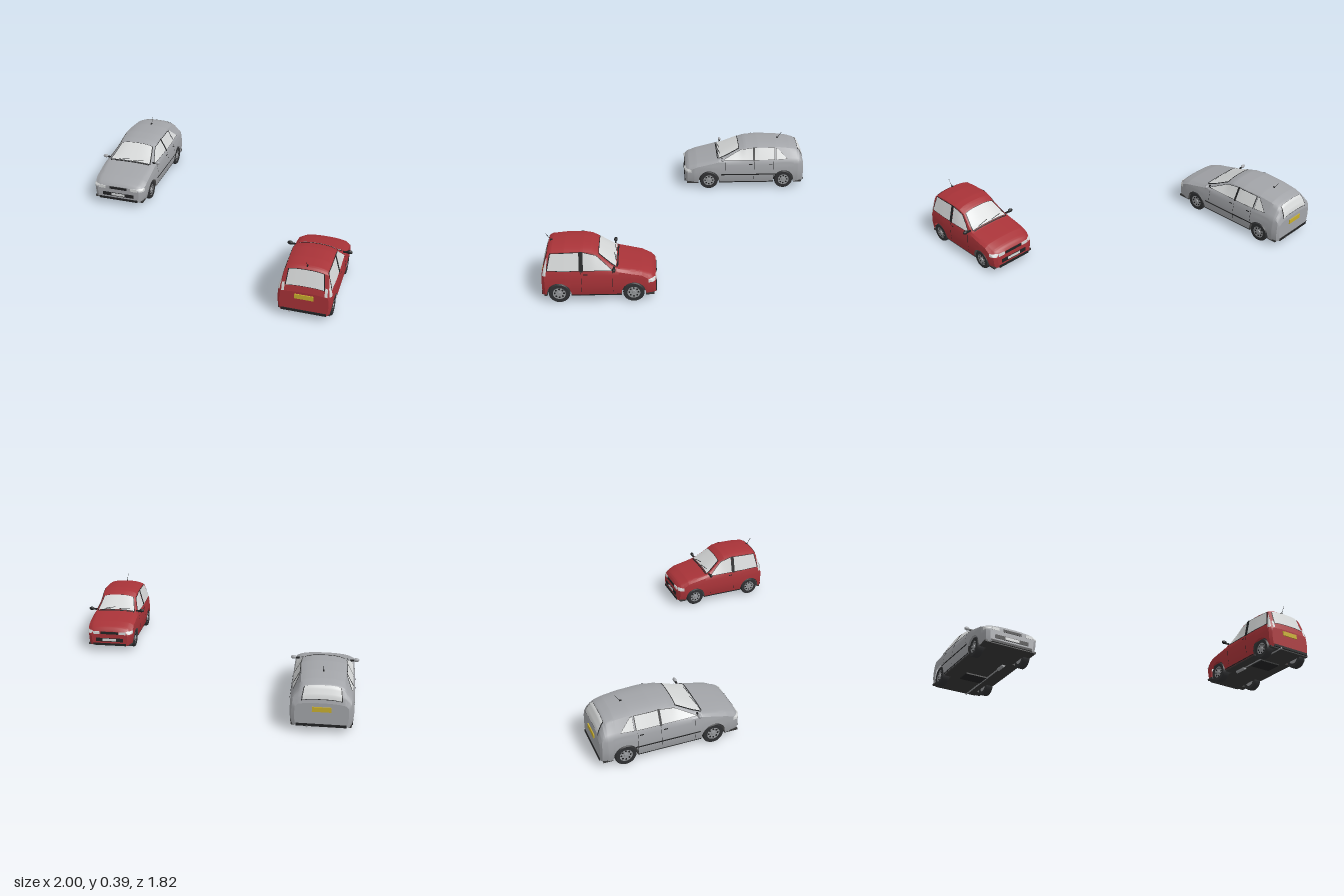
import * as THREE from 'three';
import { toCreasedNormals } from 'three/addons/utils/BufferGeometryUtils.js';

const mat = (name, color, side = THREE.DoubleSide) => {
  const m = new THREE.MeshStandardMaterial({ color, side });
  m.name = name;
  return m;
};
const M = {
  silver: mat('silver paint', 0xa2a4a8), red: mat('red paint', 0xa83338),
  glass: mat('pale glass', 0xd6d8d8), trim: mat('black trim', 0x222324),
  tyre: mat('tyre rubber', 0x303133), rim: mat('wheel metal', 0x96989b),
  under: mat('underbody', 0x383838), plate: mat('yellow plate', 0xc8ae2e),
};

// Piecewise linear lookup in [[position, value], ...]
const lin = (k, t) => {
  if (t <= k[0][0]) return k[0][1];
  for (let i = 1; i < k.length; i++) if (t <= k[i][0]) {
    const [a, va] = k[i - 1], [b, vb] = k[i];
    return va + (vb - va) * (t - a) / (b - a);
  }
  return k[k.length - 1][1];
};
const FLANK = [[0.04, 0.93], [0.08, 0.98], [0.12, 1], [0.17, 0.985], [0.225, 0.935]];

// Surface through a grid of points
function gridGeometry(rows) {
  const pos = [], idx = [], n = rows[0].length;
  rows.forEach(r => r.forEach(p => pos.push(...p)));
  for (let i = 0; i + 1 < rows.length; i++) for (let j = 0; j + 1 < n; j++) {
    const a = i * n + j, b = a + n;
    idx.push(a, a + 1, b, a + 1, b + 1, b);
  }
  const g = new THREE.BufferGeometry();
  g.setAttribute('position', new THREE.Float32BufferAttribute(pos, 3));
  g.setIndex(idx);
  g.computeVertexNormals();
  return g;
}

function car(s) {
  const car = new THREE.Group();
  const add = (name, geo, m, x = 0, y = 0, z = 0) => {
    const mesh = new THREE.Mesh(geo, m);
    mesh.name = name;
    mesh.position.set(x, y, z);
    car.add(mesh);
    return mesh;
  };
  const box = (name, m, w, h, d, x, y, z) => add(name, new THREE.BoxGeometry(w, h, d), m, x, y, z);

  // Shape rules of the shell
  const T = z => lin(s.top, z), B = z => lin(s.belt, z), W = z => lin(s.width, z), R = z => lin(s.roof, z);
  const drop = z => Math.min(0.02, (T(z) - B(z)) * 0.4);
  const sideX = (z, y) => {
    const b = B(z), e = T(z) - drop(z);
    if (y <= b) return W(z) * lin(FLANK, y);
    const t = Math.min(1, (y - b) / (e - b)), x0 = W(z) * lin(FLANK, b);
    return x0 + (R(z) - x0) * t;
  };
  const topY = (x, z) => T(z) - drop(z) * Math.min(1, Math.abs(x) / R(z)) ** 3;
  const sill = z => s.wheels.reduce((y, w) => {
    const d = s.arch ** 2 - (z - w) ** 2;
    return d > 0 ? Math.max(y, s.r + Math.sqrt(d)) : y;
  }, 0.05);

  // Shell: cross-sections from nose to tail, wheel arches cut into the lower edge
  const [tail, nose] = [s.top[0][0], s.top[s.top.length - 1][0]];
  const zs = s.top.map(k => k[0]).concat(s.width.map(k => k[0]));
  for (let i = 1; i < 110; i++) zs.push(tail + (nose - tail) * i / 110);
  zs.sort((a, b) => a - b);
  const stations = zs.filter((z, i) => i === 0 || z - zs[i - 1] > 1e-4);
  const half = z => {
    const p = [], b = B(z), y0 = Math.min(sill(z), b - 0.005), e = T(z) - drop(z);
    for (let i = 0; i < 8; i++) { const y = y0 + (b - y0) * i / 7; p.push([sideX(z, y), y, z]); }
    for (let i = 1; i <= 4; i++) { const y = b + (e - b) * i / 4; p.push([sideX(z, y), y, z]); }
    for (const f of [0.9, 0.75, 0.5, 0.25, 0]) p.push([R(z) * f, topY(R(z) * f, z), z]);
    return p;
  };
  const flip = p => [-p[0], p[1], p[2]];
  const ring = z => { const h = half(z); return h.concat(h.slice(0, -1).reverse().map(flip)); };
  add('bodyShell', toCreasedNormals(gridGeometry(stations.map(ring)), 0.6), s.paint);
  for (const [n, z] of [['nosePanel', nose], ['tailPanel', tail]])
    add(n, gridGeometry(half(z).map(p => [p, flip(p)])), s.paint);

  // Thin patches that follow the shell: corners are (z, y) on the flanks, (x, z) on top
  const patch = (name, m, c, map, grow = 1) => {
    const cx = c.reduce((a, p) => a + p[0], 0) / 4, cy = c.reduce((a, p) => a + p[1], 0) / 4;
    const q = c.map(p => [cx + (p[0] - cx) * grow, cy + (p[1] - cy) * grow]);
    const rows = [], N = 12;
    for (let i = 0; i <= N; i++) {
      rows.push([]);
      for (let j = 0; j <= N; j++) {
        const u = i / N, v = j / N;
        const at = k => (q[0][k] * (1 - u) + q[1][k] * u) * (1 - v) + (q[3][k] * (1 - u) + q[2][k] * u) * v;
        rows[i].push(map(at(0), at(1)));
      }
    }
    add(name, gridGeometry(rows), m);
  };
  const onSide = (sgn, o) => (z, y) => {
    const yy = Math.min(y, T(z) - drop(z));
    return [sgn * (sideX(z, yy) + o), yy + o * 0.3, z];
  };
  const onTop = o => (x, z) => {
    const d = (T(z + 0.002) - T(z - 0.002)) / 0.004, l = Math.hypot(1, d);
    return [x, topY(x, z) + o / l, z - o * d / l];
  };
  const sidePatch = (name, m, c, o = 0.003, grow = 1) => {
    for (const sgn of [1, -1]) patch(name, m, c, onSide(sgn, o), grow);
  };
  const rect = (a, b, c, d) => [[a, c], [b, c], [b, d], [a, d]];

  // Glass with black surrounds
  for (const w of s.sideWindows) {
    sidePatch('windowSeal', M.trim, w, 0.002, 1.07);
    sidePatch('sideWindow', M.glass, w, 0.004);
  }
  for (const [n, [xa, za, xb, zb]] of [['windscreen', s.windscreen], ['rearWindow', s.rearWindow]]) {
    const c = [[-xa, za], [xa, za], [xb, zb], [-xb, zb]];
    patch(n + 'Seal', M.trim, c, onTop(0.002), 1.05);
    patch(n, M.glass, c, onTop(0.004));
  }
  // Wipers and cowl
  const wz = s.windscreen[1];
  patch('cowl', M.trim, rect(-s.windscreen[0], s.windscreen[0], wz + 0.006, wz + 0.013), onTop(0.003));
  for (const x of [-0.09, 0.02])
    patch('wiper', M.trim, [[x, wz - 0.004], [x + 0.08, wz - 0.016], [x + 0.08, wz - 0.012], [x, wz]], onTop(0.006));

  // Pillars, door seams, handles and flank trim
  const [p0, p1] = s.pillar;
  sidePatch('doorPillar', M.trim, rect(p0, p1, B(p0) + 0.005, T(p0) - 0.02), 0.003);
  for (const z of s.seams) sidePatch('doorSeam', M.trim, rect(z - 0.001, z + 0.001, 0.075, B(z)), 0.002);
  for (const z of s.handles) sidePatch('doorHandle', M.trim, rect(z, z + 0.025, 0.192, 0.199), 0.005);
  if (s.moulding) sidePatch('sideMoulding', M.trim, rect(...s.moulding, 0.113, 0.122), 0.004);
  const [wf, wr] = s.wheels;
  sidePatch('sillTrim', M.trim, rect(wr + s.arch + 0.004, wf - s.arch - 0.004, 0.05, 0.057), 0.002);

  // Lamps, grille, bumper openings and number plates
  const wn = W(nose);
  for (const x of [1, -1]) box('headlampFront', M.glass, 0.05, 0.02, 0.006, x * (wn - 0.036), s.lampY, nose);
  sidePatch('headlampSide', M.glass, rect(nose - 0.045, nose - 0.003, s.lampY - 0.01, s.lampY + 0.012), 0.003);
  box('grille', M.trim, 0.13, 0.018, 0.007, 0, s.lampY, nose);
  box('bumperIntake', M.trim, wn * 1.5, 0.026, 0.006, 0, 0.09, nose);
  box('frontPlate', M.glass, 0.1, 0.018, 0.009, 0, 0.091, nose);
  for (const z of [nose, tail]) box('bumperLip', M.trim, W(z) * 1.85, 0.016, 0.009, 0, 0.056, z);
  box('rearPlate', M.plate, 0.116, 0.03, 0.009, 0, 0.16, tail - 0.002);
  if (s.tailLamp) {
    sidePatch('tailLampSide', M.glass, s.tailLamp, 0.003);
    for (const x of [1, -1])
      patch('tailLampRear', M.glass, rect(x * 0.122, x * 0.139, tail + 0.001, tail + 0.016), onTop(0.004));
  }

  // Underbody, exhaust and tank
  const inner = s.half - 0.065, len = nose - tail;
  box('wheelWellCore', M.under, inner * 2, 0.12, len - 0.05, 0, 0.105, (nose + tail) / 2);
  const floor = (a, b) => box('floorPan', M.under, s.half * 1.84, 0.012, b - a, 0, 0.051, (a + b) / 2);
  floor(tail + 0.012, wr - s.arch);
  floor(wr + s.arch, wf - s.arch);
  floor(wf + s.arch, nose - 0.012);
  box('fuelTank', M.trim, 0.15, 0.012, 0.11, 0, 0.042, wr + 0.15);
  const pipe = (name, r, l, x, y, z) =>
    add(name, new THREE.CylinderGeometry(r, r, l, 12).rotateX(Math.PI / 2), M.rim, x, y, z);
  pipe('exhaustPipe', 0.006, len * 0.6, 0.085, 0.046, tail + len * 0.3 - 0.006);
  pipe('silencer', 0.013, 0.08, 0.085, 0.045, wf - 0.15);

  // Wheels
  const r = s.r, tyre = [[0.6, -0.025], [0.92, -0.025], [1, -0.017], [1, 0.017], [0.92, 0.025], [0.6, 0.025]]
    .map(([a, b]) => new THREE.Vector2(a * r, b));
  for (const z of s.wheels) for (const sgn of [1, -1]) {
    const wheel = new THREE.Group();
    wheel.name = 'wheel';
    const part = (name, geo, m, y = 0, a = null) => {
      const p = new THREE.Mesh(geo, m);
      p.name = name;
      p.position.set(a === null ? 0 : Math.cos(a) * r * 0.43, y, a === null ? 0 : Math.sin(a) * r * 0.43);
      wheel.add(p);
    };
    part('tyre', toCreasedNormals(new THREE.LatheGeometry(tyre, 32), 0.6), M.tyre);
    part('rim', new THREE.CylinderGeometry(r * 0.63, r * 0.63, 0.04, 28), M.rim);
    part('hub', new THREE.CylinderGeometry(r * 0.16, r * 0.2, 0.008, 16), M.rim, 0.022);
    for (let i = 0; i < 8; i++)
      part('rimSlot', new THREE.CylinderGeometry(r * 0.09, r * 0.09, 0.003, 10), M.trim, 0.02, i * Math.PI / 4);
    wheel.rotation.z = -sgn * Math.PI / 2;
    wheel.position.set(sgn * (s.half - 0.032), r, z);
    car.add(wheel);
  }

  // Door mirrors and roof aerial
  for (const sgn of [1, -1]) {
    add('mirror', new THREE.SphereGeometry(1, 14, 10).scale(0.019, 0.013, 0.011), s.mirrorMat, sgn * (s.mirrorX - 0.019), 0.238, s.mirrorZ);
    box('mirrorStalk', M.trim, 0.035, 0.009, 0.01, sgn * (s.mirrorX - 0.042), 0.234, s.mirrorZ);
  }
  const az = s.aerial, ay = T(az);
  add('aerial', new THREE.TubeGeometry(new THREE.LineCurve3(new THREE.Vector3(0, ay - 0.003, az),
    new THREE.Vector3(0, ay + 0.045, az - 0.033)), 1, 0.0014, 6), M.trim);
  box('aerialBase', M.trim, 0.008, 0.007, 0.014, 0, ay + 0.002, az);
  return car;
}

export function createModel() {
  const model = new THREE.Group();
  // Long silver estate, facing the front
  const estate = car({
    paint: M.silver, mirrorMat: M.silver, half: 0.198, r: 0.068, arch: 0.077, wheels: [0.27, -0.292],
    top: [[-0.443, 0.2], [-0.432, 0.245], [-0.41, 0.287], [-0.39, 0.303], [-0.34, 0.319], [-0.24, 0.331], [-0.1, 0.334],
      [0, 0.327], [0.04, 0.314], [0.2, 0.236], [0.21, 0.232], [0.36, 0.2], [0.42, 0.18], [0.438, 0.167], [0.447, 0.155]],
    belt: [[-0.443, 0.17], [-0.42, 0.215], [0.2, 0.213], [0.36, 0.175], [0.44, 0.14], [0.447, 0.13]],
    width: [[-0.443, 0.163], [-0.433, 0.182], [-0.4, 0.193], [-0.2, 0.199], [0.25, 0.199], [0.38, 0.193], [0.43, 0.181], [0.447, 0.157]],
    roof: [[-0.443, 0.145], [-0.4, 0.13], [-0.1, 0.14], [0.04, 0.13], [0.2, 0.17], [0.42, 0.155], [0.447, 0.135]],
    sideWindows: [
      [[-0.06, 0.228], [0.16, 0.226], [0.028, 0.292], [-0.06, 0.306]],
      [[-0.22, 0.228], [-0.075, 0.228], [-0.075, 0.307], [-0.22, 0.304]],
      [[-0.315, 0.232], [-0.235, 0.229], [-0.235, 0.302], [-0.245, 0.302]]],
    windscreen: [0.15, 0.195, 0.118, 0.046], rearWindow: [0.118, -0.437, 0.105, -0.398],
    pillar: [-0.074, -0.061], seams: [0.15, -0.068, -0.215], handles: [-0.055, -0.205], moulding: [-0.235, 0.18],
    lampY: 0.142, mirrorX: 0.222, mirrorZ: 0.17, aerial: -0.255,
  });
  estate.name = 'silverEstate';
  estate.position.set(-0.778, 0, -0.46);
  // Short red hatchback, facing the back
  const hatch = car({
    paint: M.red, mirrorMat: M.trim, half: 0.172, r: 0.065, arch: 0.073, wheels: [0.21, -0.24],
    top: [[-0.343, 0.19], [-0.335, 0.225], [-0.303, 0.333], [-0.285, 0.346], [-0.2, 0.354], [-0.09, 0.353], [-0.04, 0.346],
      [0, 0.325], [0.05, 0.285], [0.11, 0.239], [0.12, 0.234], [0.26, 0.207], [0.32, 0.184], [0.338, 0.168], [0.345, 0.155]],
    belt: [[-0.343, 0.16], [-0.33, 0.205], [0.11, 0.21], [0.26, 0.182], [0.345, 0.128]],
    width: [[-0.343, 0.15], [-0.325, 0.165], [-0.2, 0.172], [0.2, 0.172], [0.29, 0.167], [0.33, 0.155], [0.345, 0.132]],
    roof: [[-0.343, 0.142], [-0.32, 0.14], [-0.29, 0.125], [-0.1, 0.13], [0, 0.122], [0.11, 0.15], [0.32, 0.135], [0.345, 0.115]],
    sideWindows: [
      [[-0.09, 0.22], [0.08, 0.22], [-0.015, 0.305], [-0.09, 0.328]],
      [[-0.305, 0.22], [-0.115, 0.22], [-0.115, 0.328], [-0.283, 0.32]]],
    windscreen: [0.135, 0.105, 0.108, 0.004], rearWindow: [0.115, -0.333, 0.105, -0.304],
    pillar: [-0.112, -0.094], seams: [0.085, -0.103], handles: [-0.09],
    tailLamp: [[-0.338, 0.185], [-0.315, 0.185], [-0.303, 0.3], [-0.312, 0.3]],
    lampY: 0.143, mirrorX: 0.208, mirrorZ: 0.095, aerial: -0.285,
  });
  hatch.name = 'redHatchback';
  hatch.rotation.y = Math.PI;
  hatch.position.set(0.787, 0, 0.56);
  model.add(estate, hatch);
  return model;
}
